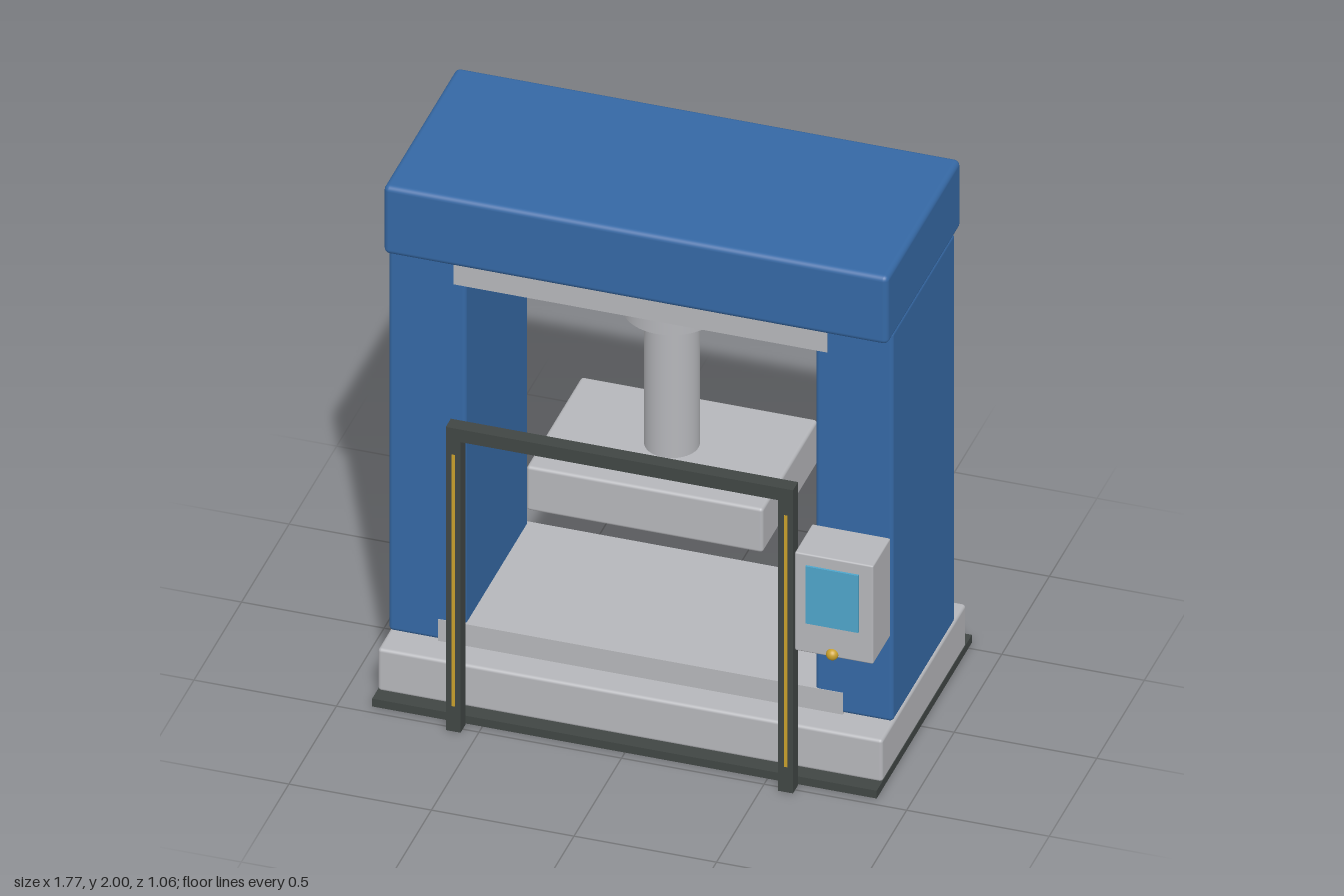
import * as THREE from 'three';
import { RoundedBoxGeometry } from 'three/addons/geometries/RoundedBoxGeometry.js';

const material = (name, color) => {
  const m = new THREE.MeshStandardMaterial({ color });
  m.name = name;
  return m;
};

export function createModel() {
  const blue = material('blue paint', 0x3568a4);
  const grey = material('machined grey', 0xb5b6ba);
  const dark = material('dark steel', 0x404644);
  const glass = material('screen blue', 0x4fa5ca);
  const yellow = material('safety yellow', 0xc9a02c);

  const press = new THREE.Group();
  press.name = 'hydraulicPress';

  const add = (name, geometry, mat, x = 0, y = 0, z = 0) => {
    const mesh = new THREE.Mesh(geometry, mat);
    mesh.name = name;
    mesh.position.set(x, y, z);
    press.add(mesh);
    return mesh;
  };

  // Box given by its limits on each axis, with optional rounded edges
  const box = (name, mat, [x0, x1], [y0, y1], [z0, z1], r = 0) => {
    const size = [x1 - x0, y1 - y0, z1 - z0];
    const geometry = r ? new RoundedBoxGeometry(...size, 3, r) : new THREE.BoxGeometry(...size);
    return add(name, geometry, mat, (x0 + x1) / 2, (y0 + y1) / 2, (z0 + z1) / 2);
  };

  const midZ = -0.03;

  // Floor plate with levelling pads, and the bed
  box('floorPlate', dark, [-0.885, 0.885], [0.004, 0.035], [-0.53, 0.47]);
  for (const x of [-0.74, 0.74]) {
    for (const z of [-0.45, 0.39]) {
      add('levellingPad', new THREE.CylinderGeometry(0.022, 0.022, 0.02, 24), dark, x, 0.01, z);
    }
  }
  box('bed', grey, [-0.885, 0.885], [0.03, 0.197], [-0.47, 0.412], 0.012);
  box('bolster', grey, [-0.71, 0.71], [0.19, 0.283], [-0.357, 0.302]);

  // Frame
  box('rightColumn', blue, [-0.885, -0.613], [0.2, 1.745], [-0.355, 0.3], 0.015);
  box('leftColumn', blue, [0.613, 0.885], [0.2, 1.745], [-0.355, 0.3], 0.015);
  box('crown', blue, [-0.885, 0.885], [1.73, 2], [-0.415, 0.355], 0.02);
  box('crownPlate', grey, [-0.655, 0.655], [1.625, 1.735], [-0.357, 0.302]);

  // Ram
  add('ramCollar', new THREE.CylinderGeometry(0.165, 0.165, 0.17, 48), grey, 0, 1.545, midZ);
  add('ramRod', new THREE.CylinderGeometry(0.093, 0.093, 0.58, 48), grey, 0, 1.19, midZ);
  box('platen', grey, [-0.415, 0.415], [0.75, 0.925], [-0.32, 0.26], 0.012);

  // Guard frame with light strips
  for (const side of [-1, 1]) {
    const x = side * 0.583;
    box('guardPost', dark, [x - 0.026, x + 0.026], [0, 1.205], [0.47, 0.523]);
    box('lightStrip', yellow, [x - 0.006, x + 0.006], [0.1, 1.1], [0.52, 0.524]);
  }
  box('guardTopBar', dark, [-0.557, 0.557], [1.155, 1.205], [0.47, 0.523]);

  // Control box
  box('controlBox', grey, [0.61, 0.885], [0.56, 0.95], [0.325, 0.508], 0.006);
  box('controlScreen', glass, [0.65, 0.835], [0.68, 0.907], [0.507, 0.516]);
  add('controlButton', new THREE.SphereGeometry(0.021, 24, 16), yellow, 0.742, 0.572, 0.508);

  return press;
}
